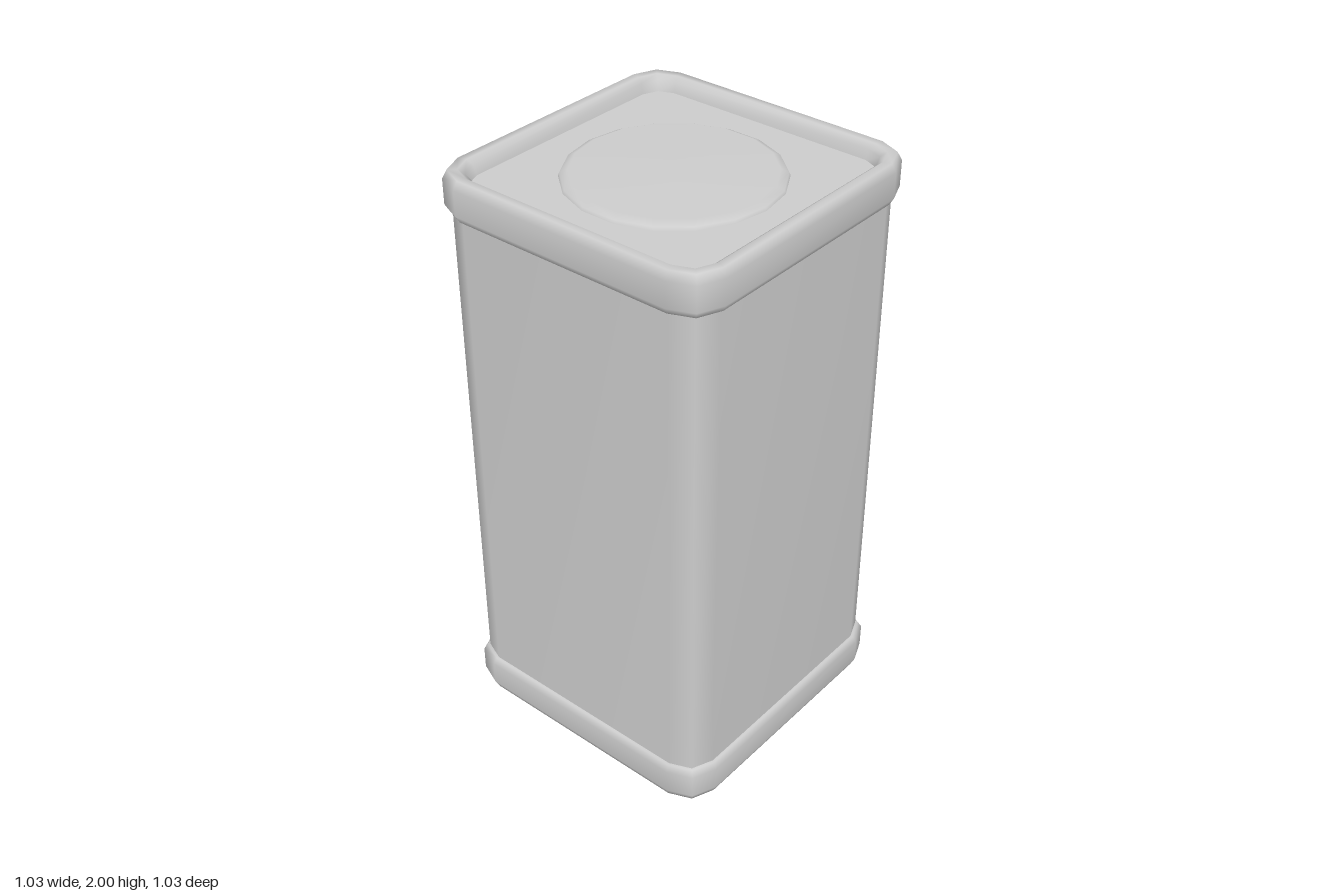
import * as THREE from 'three';

const HEIGHT = 2;

// Rounded square outline of half width h, three points per corner
function outline(h) {
  const r = 0.115 - (0.515 - h) * 0.63;
  const pts = [];
  for (let q = 0; q < 4; q++) {
    const mid = Math.PI / 4 + q * Math.PI / 2;
    const cx = (h - r) * Math.sign(Math.cos(mid));
    const cz = (h - r) * Math.sign(Math.sin(mid));
    for (let k = 0; k < 3; k++) {
      const a = q * Math.PI / 2 + k * Math.PI / 4;
      pts.push([cx + r * Math.cos(a), cz + r * Math.sin(a)]);
    }
  }
  return pts;
}

// Sweep a [halfWidth, y] profile around the rounded square
function loft(profile) {
  const pos = [], idx = [], n = 12;
  for (const [h, y] of profile) {
    for (const [x, z] of outline(h)) pos.push(x, y, z);
  }
  for (let i = 0; i < profile.length - 1; i++) {
    for (let j = 0; j < n; j++) {
      const a = i * n + j, b = i * n + (j + 1) % n;
      idx.push(a, a + n, b, b, a + n, b + n);
    }
  }
  const g = new THREE.BufferGeometry();
  g.setAttribute('position', new THREE.Float32BufferAttribute(pos, 3));
  g.setIndex(idx);
  g.computeVertexNormals();
  return g;
}

// Flat rounded square facing up or down
function plate(h, y, up) {
  const shape = new THREE.Shape(outline(h).map(([x, z]) => new THREE.Vector2(x, z)));
  return new THREE.ShapeGeometry(shape)
    .rotateX(up ? -Math.PI / 2 : Math.PI / 2)
    .translate(0, y, 0);
}

export function createModel() {
  const model = new THREE.Group();
  const metal = new THREE.MeshStandardMaterial({ color: 0xcccccc });
  metal.name = 'light grey metal';

  const add = (name, geometry) => {
    const mesh = new THREE.Mesh(geometry, metal);
    mesh.name = name;
    model.add(mesh);
  };

  // Tall body
  add('body', loft([[0.495, 0.1], [0.495, 1.9]]));

  // Rolled rims, the bottom one mirrored from the top one
  const rim = [
    [0.485, 1.864], [0.503, 1.866], [0.515, 1.888], [0.515, 1.972],
    [0.502, 2], [0.475, 2], [0.456, 1.985], [0.447, 1.95],
  ];
  add('topRim', loft(rim));
  add('bottomRim', loft(rim.map(([h, y]) => [h, HEIGHT - y]).reverse()));

  // Recessed end panels
  add('topPanel', plate(0.45, 1.952, true));
  add('bottomPanel', plate(0.45, 0.048, false));

  // Low round lid
  const lid = [[0.345, 1.95], [0.34, 1.962], [0.315, 1.974], [0, 1.976]];
  add('lid', new THREE.LatheGeometry(
    lid.map(([r, y]) => new THREE.Vector2(r, y)), 18, Math.PI / 2));

  return model;
}
